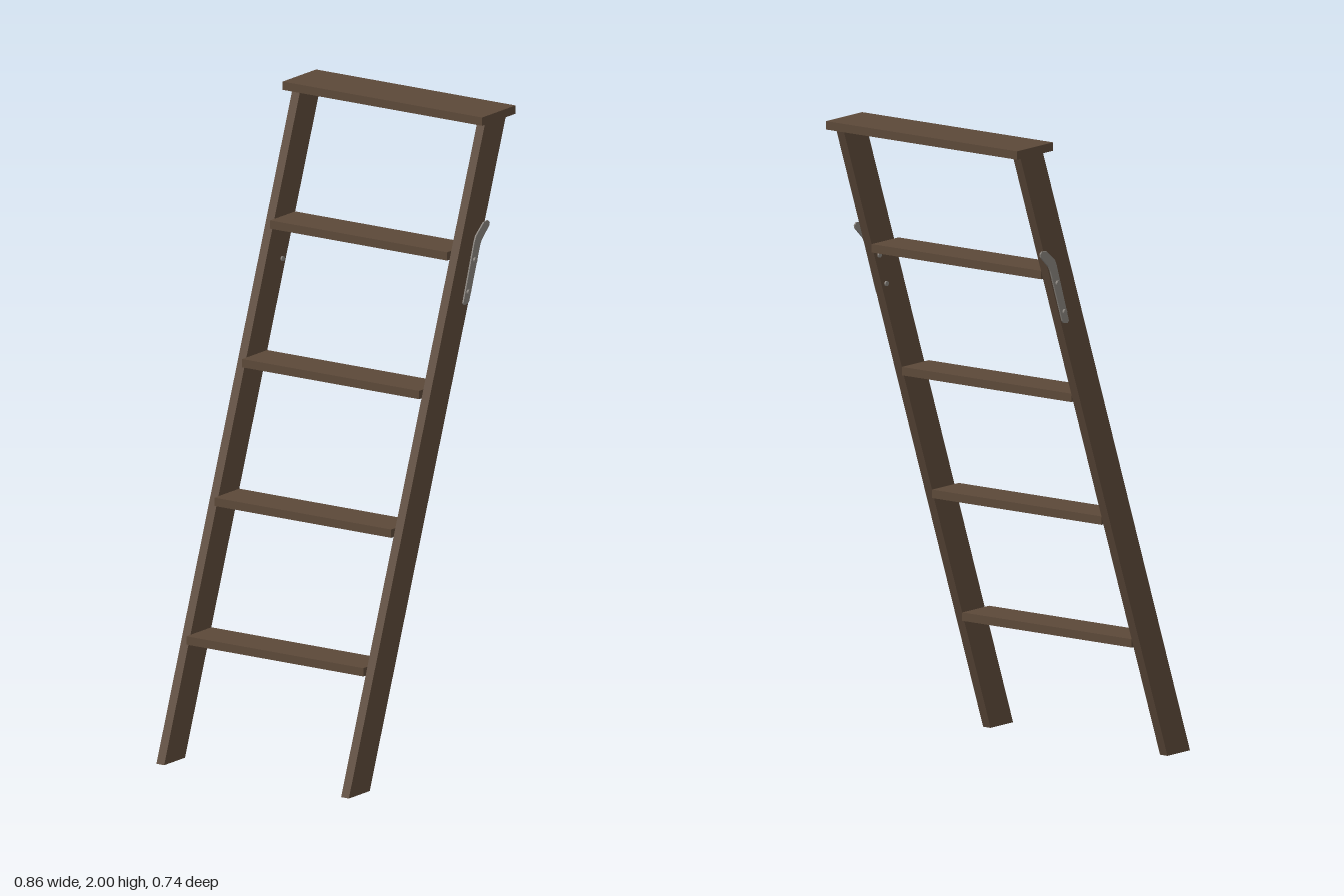
import * as THREE from 'three';

export function createModel() {
  const wood = new THREE.MeshStandardMaterial({ color: 0x5b4838 });
  wood.name = 'brown wood';
  const metal = new THREE.MeshStandardMaterial({ color: 0x85807a });
  metal.name = 'grey metal';

  const model = new THREE.Group();
  model.name = 'ladder';

  const add = (name, geometry, material, x, y, z, parent = model) => {
    const mesh = new THREE.Mesh(geometry, material);
    mesh.name = name;
    mesh.position.set(x, y, z);
    parent.add(mesh);
    return mesh;
  };

  // flat outline in x, y given a thickness centred on z = 0
  const plate = (points, depth) => {
    const shape = new THREE.Shape(points.map(([x, y]) => new THREE.Vector2(x, y)));
    const geometry = new THREE.ExtrudeGeometry(shape, { depth, bevelEnabled: false });
    return geometry.translate(0, 0, -depth / 2);
  };

  const railGeometry = plate([[-0.432, 0], [-0.322, 0], [0.398, 1.975], [0.288, 1.975]], 0.029);

  // hook strap with a bent, rounded upper end
  const hookGeometry = plate([
    [0.166, 1.432], [0.172, 1.425], [0.19, 1.427], [0.197, 1.434], [0.255, 1.598],
    [0.263, 1.612], [0.302, 1.648], [0.305, 1.658], [0.296, 1.666], [0.275, 1.664],
    [0.234, 1.63], [0.226, 1.614],
  ], 0.005);
  const boltGeometry = new THREE.CylinderGeometry(0.008, 0.008, 0.046, 12).rotateX(Math.PI / 2);

  // side rails with their hooks and through bolts
  for (const side of [1, -1]) {
    const label = side > 0 ? 'left' : 'right';
    add(label + 'Rail', railGeometry, wood, 0, 0, side * 0.3445);
    const hook = new THREE.Group();
    hook.name = label + 'Hook';
    model.add(hook);
    add('hookStrap', hookGeometry, metal, 0, 0, side * 0.3615, hook);
    for (const [x, y] of [[0.19, 1.463], [0.224, 1.557]]) {
      add('hookBolt', boltGeometry, metal, x, y, side * 0.3475, hook);
    }
  }

  // four treads, stepping up along the slope of the rails
  const treadGeometry = new THREE.BoxGeometry(0.132, 0.026, 0.66);
  for (let i = 0; i < 4; i++) {
    add('tread' + (i + 1), treadGeometry, wood, -0.249 + i * 0.1475, 0.368 + i * 0.405, 0);
  }

  // top step overhanging both rails
  add('topStep', new THREE.BoxGeometry(0.177, 0.026, 0.744), wood, 0.3415, 1.987, 0);

  return model;
}
